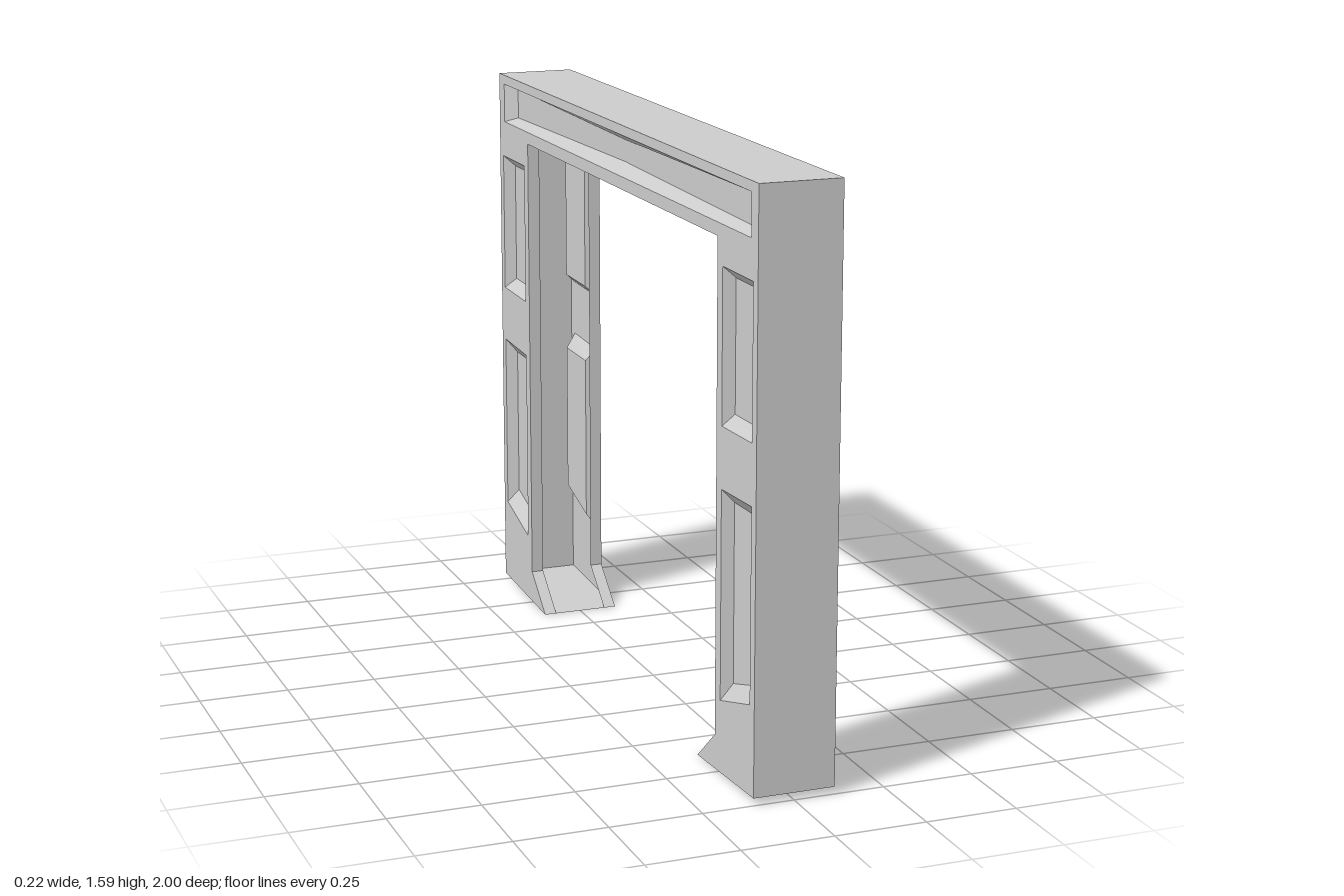
import * as THREE from 'three';

const HALF = 0.112;   // half thickness of the portal
const DEPTH = 0.032;  // depth of the panels
const LIP = 0.035;    // width of the inner lips

const material = new THREE.MeshStandardMaterial({
  color: 0xcccccc, flatShading: true, side: THREE.DoubleSide,
});

function named(name, geometry) {
  const mesh = new THREE.Mesh(geometry, material);
  mesh.name = name;
  return mesh;
}

function fromTriangles(points) {
  const geometry = new THREE.BufferGeometry();
  geometry.setAttribute('position', new THREE.Float32BufferAttribute(points.flat(), 3));
  geometry.computeVertexNormals();
  return geometry;
}

// Strip following a [z, y] path, spanning x0 to x1
function ribbon(path, x0, x1) {
  const tris = [];
  for (let i = 0; i < path.length - 1; i++) {
    const [za, ya] = path[i], [zb, yb] = path[i + 1];
    const a = [x0, ya, za], b = [x1, ya, za], c = [x1, yb, zb], d = [x0, yb, zb];
    tris.push(a, b, c, a, c, d);
  }
  return fromTriangles(tris);
}

// Sunken panel: bevels from the outer [z, y] loop to the inner loop, plus the flat field
function sunkenPanel({ outer, inner }) {
  const tris = [];
  const n = outer.length;
  const rim = outer.map(([z, y]) => [-HALF, y, z]);
  const field = inner.map(([z, y]) => [-HALF + DEPTH, y, z]);
  for (let i = 0; i < n; i++) {
    const j = (i + 1) % n;
    tris.push(rim[i], rim[j], field[j], rim[i], field[j], field[i]);
  }
  const faces = THREE.ShapeUtils.triangulateShape(inner.map((p) => new THREE.Vector2(...p)), []);
  for (const face of faces) tris.push(...face.map((k) => field[k]));
  return fromTriangles(tris);
}

const mirrorLoop = (loop) => loop.map(([z, y]) => [-z, y]).reverse();
const mirrorPanel = (p) => ({ outer: mirrorLoop(p.outer), inner: mirrorLoop(p.inner) });

// Portal outline, walked from the front toe over the top to the back toe
const outerPath = [[0.62, 0], [1, 0.02], [1, 1.59], [-1, 1.59], [-1, 0.02], [-0.62, 0]];
const innerPath = [[-0.62, 0], [-0.74, 0.1], [-0.74, 1.415], [0.74, 1.415], [0.74, 0.1], [0.62, 0]];

const upperPanel = {
  outer: [[0.775, 0.935], [0.97, 0.94], [0.97, 1.345], [0.775, 1.345]],
  inner: [[0.785, 0.965], [0.955, 0.968], [0.955, 1.315], [0.785, 1.315]],
};
const lowerPanel = {
  outer: [[0.775, 0.205], [0.97, 0.26], [0.97, 0.778], [0.775, 0.77]],
  inner: [[0.785, 0.25], [0.955, 0.3], [0.955, 0.738], [0.785, 0.735]],
};
const beamPanel = {
  outer: [[-0.955, 1.45], [0, 1.45], [0.955, 1.45], [0.955, 1.563], [0, 1.563], [-0.955, 1.563]],
  inner: [[-0.92, 1.465], [0, 1.48], [0.92, 1.465], [0.92, 1.55], [0, 1.54], [-0.92, 1.55]],
};

// One flank: face sheet with panel openings, sunken panels and the inner lip
function createSide(name) {
  const side = new THREE.Group();
  side.name = name;
  const panels = [
    ['upperPanel', upperPanel], ['lowerPanel', lowerPanel], ['beamPanel', beamPanel],
    ['upperPanel', mirrorPanel(upperPanel)], ['lowerPanel', mirrorPanel(lowerPanel)],
  ];

  const toVectors = (loop) => loop.map((p) => new THREE.Vector2(...p));
  const shape = new THREE.Shape(toVectors([...outerPath, ...innerPath.slice(1, -1)]));
  for (const [, panel] of panels) shape.holes.push(new THREE.Path(toVectors(panel.outer)));
  const sheet = new THREE.ShapeGeometry(shape);
  const pos = sheet.attributes.position;
  for (let i = 0; i < pos.count; i++) pos.setXYZ(i, -HALF, pos.getY(i), pos.getX(i));
  sheet.computeVertexNormals();
  side.add(named('sideFace', sheet));

  for (const [label, panel] of panels) side.add(named(label, sunkenPanel(panel)));
  side.add(named('innerLip', ribbon(innerPath, -HALF, -HALF + LIP)));
  return side;
}

export function createModel() {
  const model = new THREE.Group();
  model.name = 'portalFrame';

  // Outer skin: undersides of the feet, end faces and top
  model.add(named('outerSkin', ribbon(outerPath, -HALF, HALF)));

  // The flanks are the same part turned half round
  const right = createSide('rightSide');
  const left = createSide('leftSide');
  left.rotation.y = Math.PI;
  model.add(right, left);
  return model;
}
